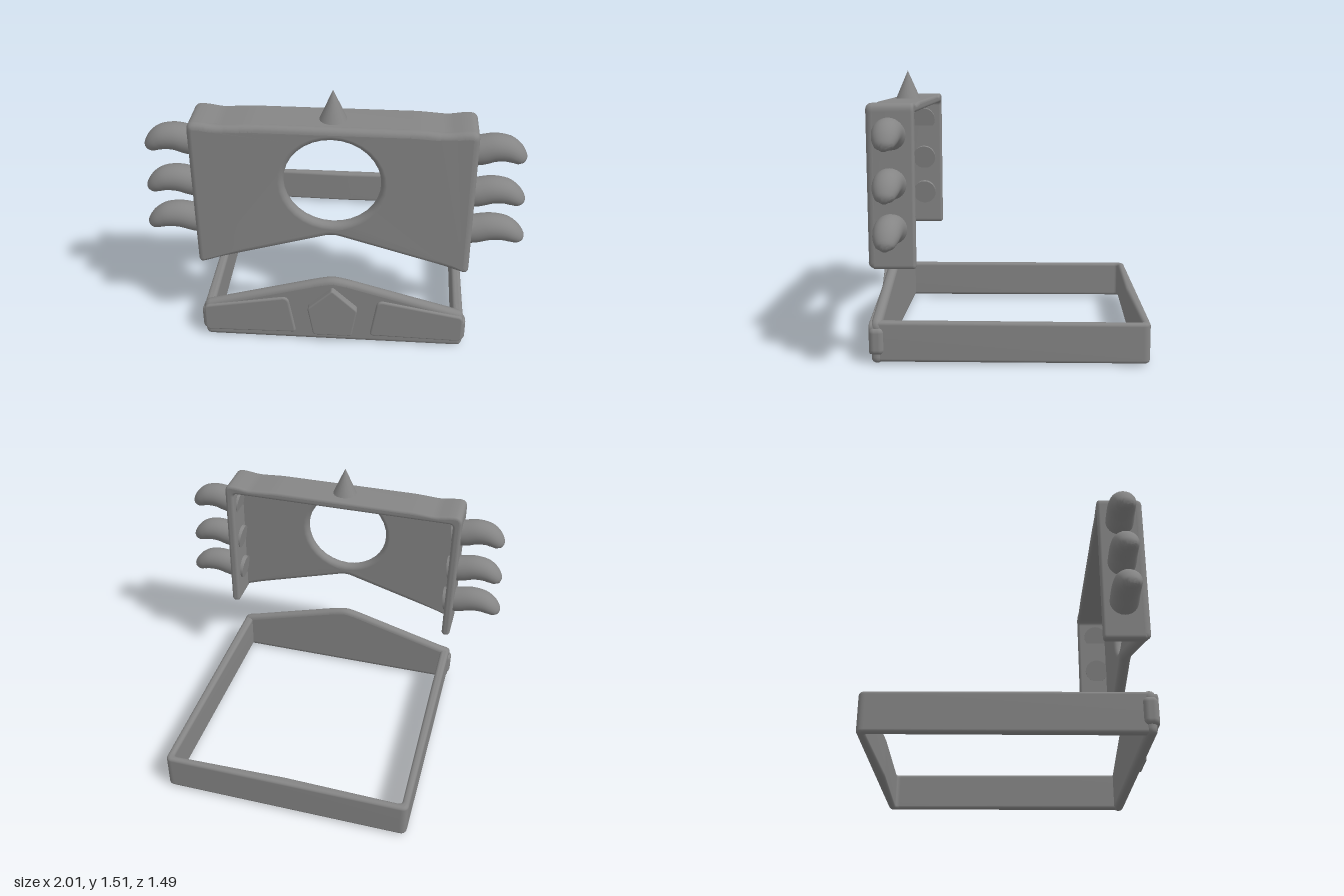
import * as THREE from 'three';
import { mergeVertices, toCreasedNormals } from 'three/addons/utils/BufferGeometryUtils.js';
import { RoundedBoxGeometry } from 'three/addons/geometries/RoundedBoxGeometry.js';

const material = new THREE.MeshStandardMaterial({ color: 0x858585 });

function add(parent, name, geometry) {
  const mesh = new THREE.Mesh(geometry, material);
  mesh.name = name;
  parent.add(mesh);
  return mesh;
}

// Closed polygon with softened corners; a point may carry its own radius
function roundedShape(points, defaultRadius) {
  const shape = new THREE.Shape();
  const v = points.map(([x, y]) => new THREE.Vector2(x, y));
  v.forEach((p, i) => {
    const radius = points[i][2] ?? defaultRadius;
    const prev = v[(i + v.length - 1) % v.length], next = v[(i + 1) % v.length];
    const a = prev.clone().sub(p).setLength(radius).add(p);
    const b = next.clone().sub(p).setLength(radius).add(p);
    if (i === 0) shape.moveTo(a.x, a.y);
    else shape.lineTo(a.x, a.y);
    shape.quadraticCurveTo(p.x, p.y, b.x, b.y);
  });
  shape.closePath();
  return shape;
}

// Plate between two z values with smooth rounded edges
function plate(parent, name, shape, z0, z1, bevel) {
  const g = new THREE.ExtrudeGeometry(shape, {
    depth: z1 - z0 - 2 * bevel, bevelThickness: bevel, bevelSize: bevel,
    bevelOffset: -bevel, bevelSegments: 4, curveSegments: 16,
  });
  g.translate(0, 0, z0 + bevel);
  g.deleteAttribute('normal');
  g.deleteAttribute('uv');
  const smooth = mergeVertices(g);
  smooth.computeVertexNormals();
  return add(parent, name, smooth);
}

// Curved blunt claw pointing along +x: [x, y, radius in the bend plane, radius in z]
function clawGeometry(reach, y) {
  const sections = [
    [0.655, 0.708, 0.073, 0.073], [0.74, 0.72, 0.077, 0.076], [0.82, 0.737, 0.073, 0.075],
    [0.89, 0.732, 0.067, 0.072], [0.94, 0.708, 0.054, 0.064], [0.975, 0.678, 0.036, 0.046],
    [0.988, 0.66, 0.012, 0.015],
  ];
  const path = new THREE.CatmullRomCurve3(sections.map(
    ([x, h]) => new THREE.Vector3(0.72 + (x - 0.72) * reach, h - 0.72 + y, 0)));
  const radii = new THREE.CatmullRomCurve3(sections.map(
    ([, , r, w]) => new THREE.Vector3(r, w, 0)));
  const g = new THREE.CylinderGeometry(1, 1, 1, 24, 24);
  const pos = g.attributes.position;
  for (let i = 0; i < pos.count; i++) {
    const t = THREE.MathUtils.clamp(pos.getY(i) + 0.5, 0, 1);
    const c = path.getPoint(t), d = path.getTangent(t), r = radii.getPoint(t);
    const n = pos.getX(i) * r.x;
    pos.setXYZ(i, c.x + d.y * n, c.y - d.x * n, pos.getZ(i) * r.y);
  }
  return toCreasedNormals(g, 0.9);
}

export function createModel() {
  const model = new THREE.Group();
  model.name = 'maskAndHeadband';

  // Upper shell: front plate with a round opening, walls along sides and top
  const shell = new THREE.Group();
  shell.name = 'upperShell';
  model.add(shell);
  const topEdge = [
    [0.72, 1.357, 0.045], [0.65, 1.355, 0.02], [0.57, 1.342], [0.42, 1.352],
    [-0.42, 1.352], [-0.57, 1.342], [-0.65, 1.355, 0.02], [-0.72, 1.357, 0.045],
  ];
  const face = roundedShape([
    [-0.72, 0.5], [-0.58, 0.55], [0, 0.722], [0.58, 0.55], [0.72, 0.5], ...topEdge,
  ], 0.04);
  const opening = new THREE.Path();
  opening.absarc(0, 1.038, 0.248, 0, Math.PI * 2, true);
  face.holes.push(opening);
  plate(shell, 'frontPlate', face, 0.645, 0.713, 0.03);
  plate(shell, 'sideAndTopWalls', roundedShape([
    [0.72, 0.505], ...topEdge, [-0.72, 0.505],
    [-0.67, 0.505], [-0.67, 1.303], [0.67, 1.303], [0.67, 0.505],
  ], 0.024), 0.468, 0.695, 0.016);

  // Spike on the top edge
  const spike = add(shell, 'topSpike', new THREE.ConeGeometry(0.077, 0.175, 24));
  spike.position.set(0, 1.4225, 0.59);

  // Three claws on each side
  [[0.87, 1.2], [0.93, 0.95], [1, 0.72]].forEach(([reach, y]) => {
    const g = clawGeometry(reach, y);
    for (const s of [-1, 1]) {
      const claw = add(shell, s > 0 ? 'leftClaw' : 'rightClaw', g);
      claw.position.z = 0.583;
      claw.rotation.y = s > 0 ? 0 : Math.PI;
    }
  });

  // Lower band: peaked front, and a U-shaped strip for the sides and back
  const band = new THREE.Group();
  band.name = 'headband';
  model.add(band);
  plate(band, 'bandFront', roundedShape([
    [-0.718, 0], [0.718, 0], [0.718, 0.225], [0.08, 0.408], [0, 0.425],
    [-0.08, 0.408], [-0.718, 0.225],
  ], 0.035), 0.652, 0.71, 0.026);
  const strip = plate(band, 'bandSidesAndBack', roundedShape([
    [0.713, -0.69], [0.713, 0.745, 0.04], [-0.713, 0.745, 0.04], [-0.713, -0.69],
    [-0.658, -0.69], [-0.672, 0.705], [0, 0.69], [0.672, 0.705], [0.658, -0.69],
  ], 0.024), 0.008, 0.225, 0.018);
  strip.rotation.x = -Math.PI / 2;

  // Raised side panels wrapping round the front corners
  for (const s of [-1, 1]) {
    const panel = roundedShape([
      [0.205, 0.056, 0.02], [0.715, 0.046], [0.715, 0.214], [0.245, 0.303, 0.04],
    ].map(([x, y, r]) => [s * x, y, r]), 0.03);
    plate(band, 'frontPanel', panel, 0.69, 0.722, 0.01);
    const wrap = add(band, 'panelWrap', new RoundedBoxGeometry(0.07, 0.15, 0.08, 4, 0.03));
    wrap.position.set(s * 0.695, 0.121, 0.682);
  }

  // Raised centre badge
  plate(band, 'centerBadge', roundedShape([
    [-0.107, 0.065], [0.107, 0.065], [0.137, 0.247], [0, 0.38], [-0.137, 0.247],
  ], 0.015), 0.69, 0.745, 0.008);

  return model;
}
